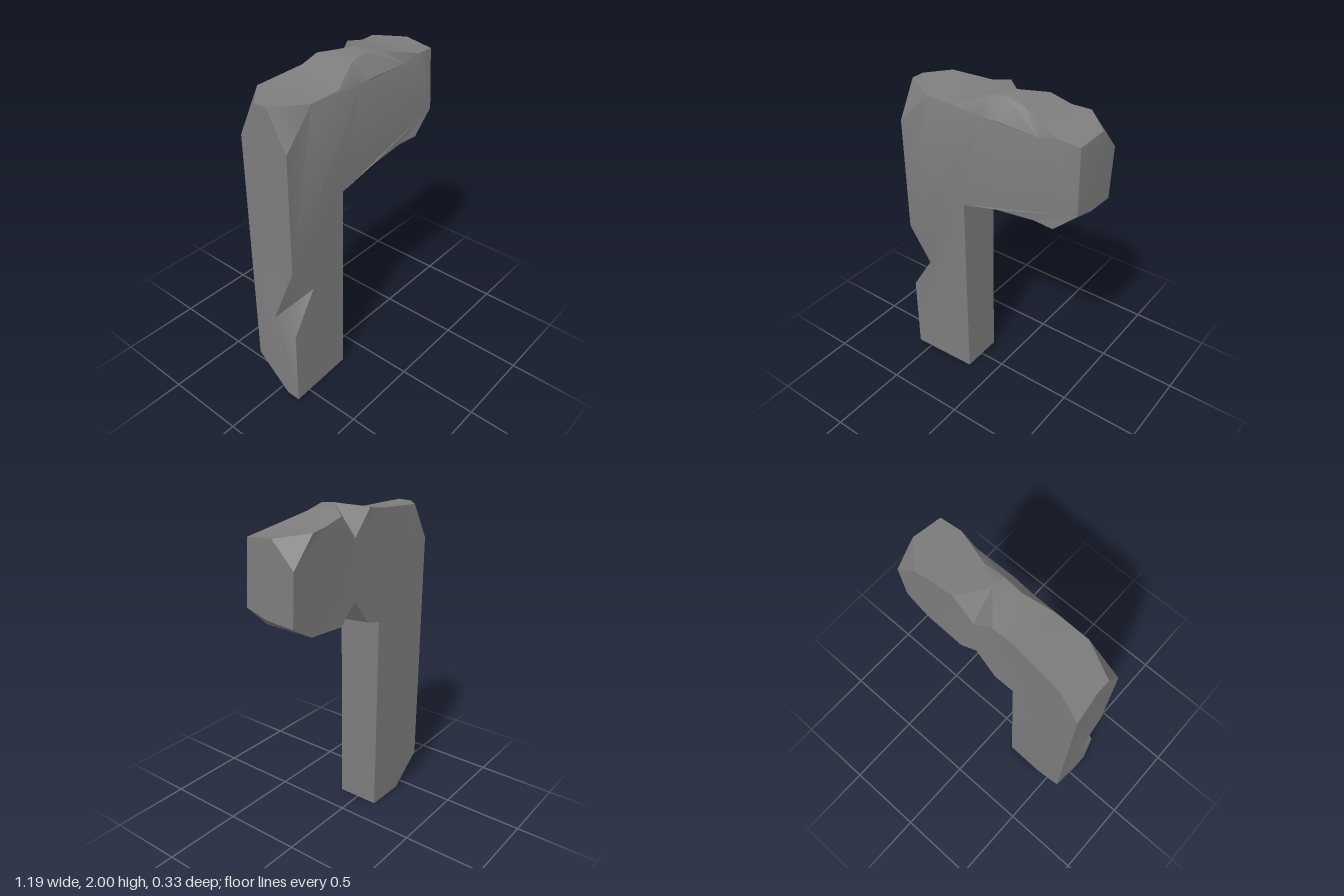
import * as THREE from 'three';
import { toCreasedNormals } from 'three/addons/utils/BufferGeometryUtils.js';

const V = (x, y, z) => new THREE.Vector3(x, y, z);

// Front outline, anticlockwise from the foot
const F = [
  V(-0.6, 0, 0.15), V(-0.17, 0, 0.135), V(-0.17, 1.28, 0.135), V(0.07, 1.35, 0.15),
  V(0.32, 1.38, 0.15), V(0.45, 1.385, 0.165), V(0.59, 1.52, 0.165), V(0.575, 1.89, 0.15),
  V(0.44, 1.9, 0.16), V(0.33, 1.87, 0.15), V(0.08, 1.88, 0.15), V(-0.05, 1.87, 0.145),
  V(-0.2, 1.89, 0.135), V(-0.4, 1.885, 0.135), V(-0.6, 1.69, 0.15),
  V(-0.6, 0.97, 0.15), V(-0.44, 0.77, 0.15), V(-0.6, 0.51, 0.15),
];
// Back outline, in the same direction
const B = [
  V(-0.6, 0.2, -0.165), V(-0.42, 0, -0.14), V(-0.17, 0, -0.135), V(-0.17, 1.28, -0.14),
  V(-0.05, 1.315, -0.15), V(0.08, 1.48, -0.15), V(0.2, 1.365, -0.15), V(0.45, 1.385, -0.15),
  V(0.59, 1.47, -0.15), V(0.59, 1.77, -0.165), V(0.44, 1.93, -0.165), V(0.33, 1.935, -0.15),
  V(0.2, 1.965, -0.15), V(0.08, 1.83, -0.15), V(-0.05, 1.97, -0.15), V(-0.17, 1.945, -0.14),
  V(-0.47, 1.92, -0.165), V(-0.6, 1.7, -0.165),
];
// Points between the two outlines: chip tips and the worn ridge on top
const foot = V(-0.6, 0, 0.06), under = V(0.07, 1.35, 0);
const endLow = V(0.59, 1.48, 0.03), endTop = V(0.59, 1.91, -0.03);
const peak = V(0.08, 2, -0.01);
const ridgeL = V(0.2, 1.965, 0.075), ridge = V(0.08, 1.99, 0.075), ridgeR = V(-0.03, 1.97, 0.075);
const topBack = V(-0.6, 1.905, -0.055), topFront = V(-0.6, 1.905, 0.03);
const sideTip = V(-0.6, 0.57, -0.01);

export function createModel() {
  const points = [];
  const fan = (...p) => {
    for (let i = 1; i < p.length - 1; i++) points.push(p[0], p[i], p[i + 1]);
  };
  const cap = (outline, back) => {
    const flat = outline.map((p) => new THREE.Vector2(p.x, p.y));
    for (const [a, b, c] of THREE.ShapeUtils.triangulateShape(flat, [])) {
      if (back) fan(outline[a], outline[c], outline[b]);
      else fan(outline[a], outline[b], outline[c]);
    }
  };

  // Broad front and back faces
  cap(F, false);
  cap(B, true);

  // Foot with its chipped corner, and inner side of the post
  fan(F[0], foot, B[1], B[2], F[1]);
  fan(foot, B[0], B[1]);
  fan(F[1], B[2], B[3], F[2]);

  // Underside of the arm and its notch
  fan(F[2], B[3], B[4], under, F[3]);
  fan(under, B[4], B[5]);
  fan(under, B[5], B[6]);
  fan(F[3], under, B[6], F[4]);
  fan(F[4], B[6], B[7], F[5]);

  // Bevelled end of the arm
  fan(F[5], B[7], B[8], endLow, F[6]);
  fan(F[6], endLow, B[8], B[9], endTop, F[7]);
  fan(endTop, B[9], B[10]);

  // Worn top, from the arm's end to the post
  fan(F[7], endTop, B[10], F[8]);
  fan(F[8], B[10], B[11]);
  fan(F[8], B[11], ridgeL, F[9]);
  fan(ridgeL, B[11], B[12], peak, ridge);
  fan(F[9], ridgeL, ridge, F[10]);
  fan(peak, B[12], B[13]);
  fan(peak, B[13], B[14]);
  fan(ridge, peak, ridgeR);
  fan(ridgeR, peak, B[14], B[15]);
  fan(F[10], ridge, ridgeR, F[11]);
  fan(F[11], ridgeR, F[12]);
  fan(F[12], ridgeR, B[15], F[13]);
  fan(F[13], B[15], B[16], topBack, topFront);

  // Chipped top corners of the post
  fan(F[13], topFront, F[14]);
  fan(topBack, B[16], B[17]);

  // Outer side of the post and its notch
  fan(sideTip, F[15], F[14], topFront, topBack, B[17], B[0], foot, F[0], F[17]);
  fan(F[15], sideTip, F[16]);
  fan(F[16], sideTip, F[17]);

  const stone = new THREE.MeshStandardMaterial({ color: 0x7d7d7d });
  stone.name = 'stone grey';
  const geometry = new THREE.BufferGeometry().setFromPoints(points);
  const mesh = new THREE.Mesh(toCreasedNormals(geometry, 0.65), stone);
  mesh.name = 'chippedStonePostAndArm';

  const group = new THREE.Group();
  group.name = 'brokenStoneArch';
  group.add(mesh);
  return group;
}
